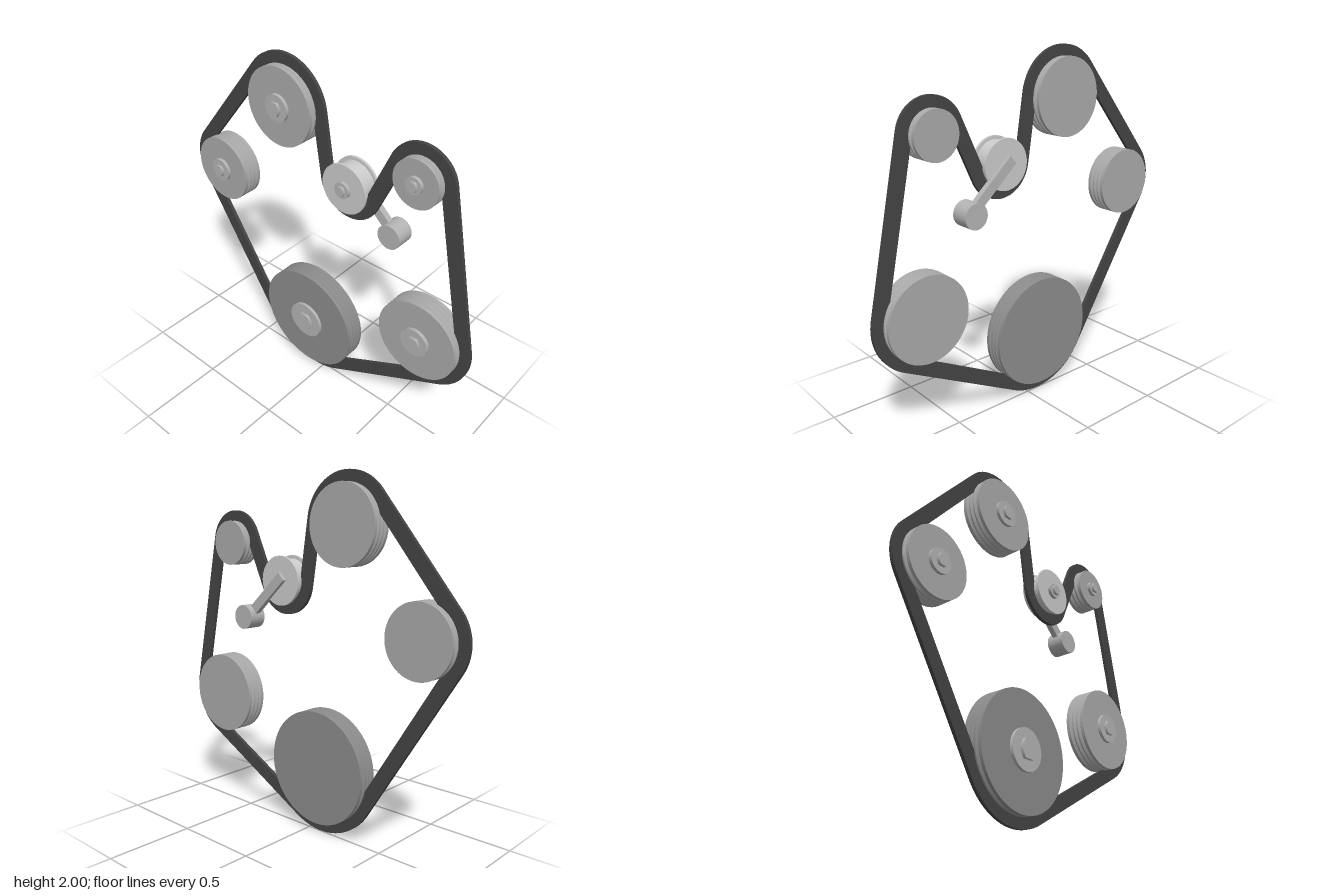
import * as THREE from 'three';

const BACK = -0.045, FRONT = 0.068, MID = 0.012;
const BELT_HALF = 0.041, BELT_THICK = 0.02;

const mat = (color) => new THREE.MeshStandardMaterial({ color });
const mats = {
  belt: mat(0x444444), crank: mat(0x8c8c8c), pulley: mat(0xaaaaaa),
  idler: mat(0xcccccc), hub: mat(0xb4b4b4),
};

// Pulleys in counter-clockwise belt order; turn -1 means the belt bends the other way
const pulleys = [
  { name: 'crankPulley', x: -0.08, y: 0.39, r: 0.325, hub: 0.114, bolt: 0.06, m: mats.crank, turn: 1 },
  { name: 'lowerRightPulley', x: 0.685, y: 0.697, r: 0.238, hub: 0.084, bolt: 0.045, m: mats.pulley, turn: 1 },
  { name: 'upperRightPulley', x: 0.6, y: 1.617, r: 0.128, hub: 0.045, bolt: 0.03, m: mats.pulley, turn: 1 },
  { name: 'tensionerPulley', x: 0.183, y: 1.418, r: 0.138, hub: 0.045, bolt: 0.03, m: mats.idler, turn: -1 },
  { name: 'topPulley', x: -0.255, y: 1.725, r: 0.216, hub: 0.075, bolt: 0.04, m: mats.pulley, turn: 1 },
  { name: 'leftPulley', x: -0.735, y: 1.18, r: 0.195, hub: 0.068, bolt: 0.036, m: mats.pulley, turn: 1 },
];

function addMesh(parent, name, geometry, material, x = 0, y = 0, z = 0) {
  const mesh = new THREE.Mesh(geometry, material);
  mesh.name = name;
  mesh.position.set(x, y, z);
  parent.add(mesh);
  return mesh;
}

// Cylinder along z between two depths
function disc(r, z0, z1, sides = 48) {
  return new THREE.CylinderGeometry(r, r, z1 - z0, sides).rotateX(Math.PI / 2).translate(0, 0, (z0 + z1) / 2);
}

// Turned profile of [radius, z] points; each band keeps its own normals for crisp edges
function turned(parent, name, profile, material) {
  const group = new THREE.Group();
  group.name = name;
  for (let i = 0; i < profile.length - 1; i++) {
    const pts = [profile[i], profile[i + 1]].map(([r, z]) => new THREE.Vector2(r, z));
    addMesh(group, name + 'Band', new THREE.LatheGeometry(pts, 64).rotateX(Math.PI / 2), material);
  }
  parent.add(group);
}

// Four ribs separated by V grooves
function ribbedProfile(r) {
  const ribs = 4, pitch = (FRONT - BACK) / ribs, depth = 0.014;
  const pts = [[0, BACK], [r, BACK]];
  for (let i = 0; i < ribs; i++) {
    const z = BACK + i * pitch;
    if (i > 0) pts.push([r - depth, z], [r, z + pitch * 0.35]);
    pts.push([r, z + pitch * (i < ribs - 1 ? 0.65 : 1)]);
  }
  pts.push([0, FRONT]);
  return pts;
}

// Smooth drum between two thin flanges
function flangedProfile(r) {
  const drum = r - 0.018, lip = 0.014;
  return [[0, BACK], [r, BACK], [r, BACK + lip], [drum, BACK + lip],
    [drum, FRONT - lip], [r, FRONT - lip], [r, FRONT], [0, FRONT]];
}

function makePulley(p) {
  const g = new THREE.Group();
  g.name = p.name;
  g.position.set(p.x, p.y, 0);
  turned(g, 'wheel', p.turn > 0 ? ribbedProfile(p.r) : flangedProfile(p.r), p.m);
  addMesh(g, 'hub', disc(p.hub, FRONT - 0.01, 0.086), mats.hub);
  addMesh(g, 'hexBolt', disc(p.bolt, 0.08, 0.102, 6).rotateZ(Math.PI / 6), mats.hub);
  return g;
}

// Outline of the belt, offset sideways from its centre line by tangents and arcs
function beltOutline(offset) {
  const wheels = pulleys.map((p) => ({ ...p, R: p.turn > 0 ? p.r + 0.019 : -(p.r + 0.011) }));
  const n = wheels.length;
  const normals = wheels.map((a, i) => {
    const b = wheels[(i + 1) % n];
    const D = Math.hypot(b.x - a.x, b.y - a.y);
    const dx = (b.x - a.x) / D, dy = (b.y - a.y) / D;
    const s = (a.R - b.R) / D, c = Math.sqrt(1 - s * s);
    return Math.atan2(s * dy - c * dx, s * dx + c * dy);
  });
  const pts = [];
  wheels.forEach((w, i) => {
    const from = normals[(i + n - 1) % n];
    let sweep = (normals[i] - from) * w.turn;
    sweep = w.turn * (((sweep % (2 * Math.PI)) + 2 * Math.PI) % (2 * Math.PI));
    const steps = 28;
    for (let k = 0; k <= steps; k++) {
      const t = from + (sweep * k) / steps, r = w.R + offset;
      pts.push(new THREE.Vector2(w.x + r * Math.cos(t), w.y + r * Math.sin(t)));
    }
  });
  return pts;
}

export function createModel() {
  const model = new THREE.Group();
  model.name = 'beltDrive';

  // Belt
  const shape = new THREE.Shape(beltOutline(BELT_HALF));
  shape.holes.push(new THREE.Path(beltOutline(-BELT_HALF)));
  const belt = new THREE.ExtrudeGeometry(shape, { depth: BELT_THICK, bevelEnabled: false });
  addMesh(model, 'belt', belt, mats.belt, 0, 0, MID - BELT_THICK / 2);

  // Pulleys with hubs and bolts
  pulleys.forEach((p) => model.add(makePulley(p)));

  // Tensioner arm and pivot post behind the smooth pulley
  const tip = new THREE.Vector2(0.155, 1.445), post = new THREE.Vector2(0.425, 1.2);
  const span = post.clone().sub(tip);
  const arm = addMesh(model, 'tensionerArm', new THREE.BoxGeometry(span.length(), 0.056, 0.034), mats.hub,
    (tip.x + post.x) / 2, (tip.y + post.y) / 2, -0.051);
  arm.rotation.z = span.angle();
  addMesh(model, 'tensionerPivot', disc(0.069, -0.105, 0), mats.hub, post.x, post.y);

  return model;
}
